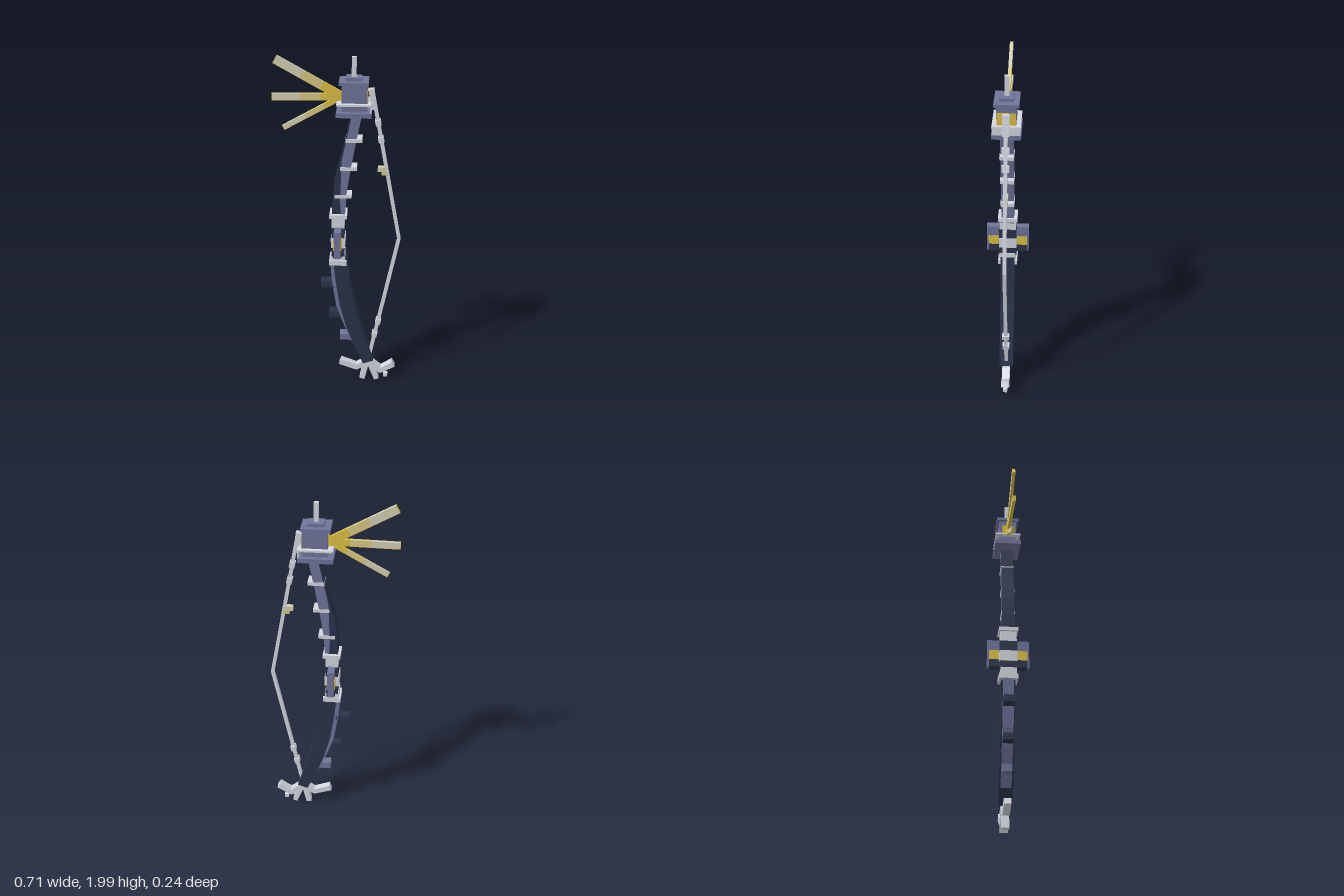
import * as THREE from 'three';

const mat = (name, color) => {
  const m = new THREE.MeshStandardMaterial({ color });
  m.name = name;
  return m;
};

export function createModel() {
  const bow = new THREE.Group();
  bow.name = 'bow';
  const silver = mat('silver', 0xd3d7df);
  const violet = mat('slate violet', 0x70749a);
  const navy = mat('navy', 0x2a334a);
  const gold = mat('gold', 0xdcbf46);
  const paleGold = mat('pale gold', 0xd8c984);
  const ash = mat('pale ash', 0xd3d0b4);

  const add = (name, geo, m) => {
    const mesh = new THREE.Mesh(geo, m);
    mesh.name = name;
    bow.add(mesh);
    return mesh;
  };
  // Box given by its limits in x and y and its half depth
  const box = (name, m, x0, x1, y0, y1, hz, z = 0) => {
    const mesh = add(name, new THREE.BoxGeometry(x1 - x0, y1 - y0, hz * 2), m);
    mesh.position.set((x0 + x1) / 2, (y0 + y1) / 2, z);
    return mesh;
  };
  // Flat strip following a path of [x, y, width], extruded along z
  const strip = (name, m, path, hz) => {
    const a = [], b = [];
    path.forEach(([x, y, w], i) => {
      const p = path[Math.max(i - 1, 0)], q = path[Math.min(i + 1, path.length - 1)];
      const dx = q[0] - p[0], dy = q[1] - p[1], k = w / 2 / Math.hypot(dx, dy);
      a.push(new THREE.Vector2(x - dy * k, y + dx * k));
      b.unshift(new THREE.Vector2(x + dy * k, y - dx * k));
    });
    const geo = new THREE.ExtrudeGeometry(new THREE.Shape([...a, ...b]), { depth: hz * 2, bevelEnabled: false });
    geo.translate(0, 0, -hz);
    return add(name, geo, m);
  };

  // Head block with stepped cap and spike
  box('headBase', violet, -0.01, 0.178, 1.69, 1.715, 0.076);
  box('headBody', violet, 0.02, 0.155, 1.715, 1.86, 0.05);
  box('headCollar', silver, -0.008, 0.177, 1.752, 1.762, 0.074);
  box('headCollarPlate', silver, 0.17, 0.177, 1.715, 1.76, 0.072);
  box('headCap', violet, 0.005, 0.16, 1.86, 1.877, 0.065);
  box('headCapStep', violet, 0.04, 0.125, 1.877, 1.895, 0.037);
  box('headSpike', silver, 0.07, 0.095, 1.895, 2.0, 0.012);
  box('headPanelLeft', gold, 0.154, 0.158, 1.762, 1.83, 0.048);
  box('headPanelRight', gold, 0.017, 0.021, 1.765, 1.83, 0.03);

  // Three fan blades, fading in steps from gold to ash, with gilded ends and lower edges
  [[-0.332, 1.982, 0.045], [-0.353, 1.778, 0.036], [-0.295, 1.608, 0.026]].forEach(([x, y, w]) => {
    const dx = x - 0.02, dy = y - 1.785, len = Math.hypot(dx, dy);
    const at = (t, down = 0, width = w) =>
      [0.02 + dx * t - dy / len * down, 1.785 + dy * t + dx / len * down, width];
    strip('bladeRoot', gold, [at(0), at(0.3)], 0.009);
    strip('bladeMiddle', paleGold, [at(0.3), at(0.6)], 0.009);
    strip('bladeTip', ash, [at(0.6), at(0.995)], 0.009);
    strip('bladeEnd', gold, [at(0.995), at(1)], 0.009);
    strip('bladeEdge', gold, [at(0, w / 2, 0.003), at(1, w / 2, 0.003)], 0.009);
  });

  // Upper limb, its dark back and its bands
  strip('upperLimb', violet, [[0.1, 1.7, 0.055], [0.07, 1.55, 0.055], [0.043, 1.4, 0.055],
    [0.022, 1.25, 0.052], [0.012, 1.08, 0.048]], 0.035);
  strip('upperLimbBack', navy, [[0.072, 1.7, 0.005], [0.042, 1.55, 0.005], [0.014, 1.43, 0.009],
    [-0.001, 1.32, 0.034], [-0.01, 1.2, 0.042], [-0.008, 1.08, 0.052]], 0.0355);
  [[0.04, 0.13, 1.55], [0.012, 0.102, 1.388], [-0.018, 0.075, 1.224]].forEach(([x0, x1, y]) =>
    box('limbBand', silver, x0, x1, y - 0.01, y + 0.01, 0.038));

  // Grip with stacked colours between two collars
  box('gripCollarTop', silver, -0.048, 0.05, 1.095, 1.117, 0.054);
  box('gripNeck', silver, -0.036, 0.036, 1.035, 1.095, 0.046);
  box('gripCoreTop', navy, -0.036, 0.036, 0.975, 1.035, 0.05);
  box('gripCoreBand', silver, -0.04, 0.04, 0.912, 0.975, 0.05);
  box('gripCoreBottom', navy, -0.036, 0.036, 0.86, 0.912, 0.05);
  box('gripCollarBottom', silver, -0.04, 0.04, 0.83, 0.872, 0.046);
  box('gripCollarLip', silver, -0.05, 0.05, 0.803, 0.832, 0.054);
  for (const s of [1, -1]) {
    box('guardTop', violet, -0.019, 0.019, 0.98, 1.042, 0.034, s * 0.084);
    box('guardPlate', violet, -0.018, 0.018, 0.88, 0.98, 0.006, s * 0.112);
    box('guardGold', gold, -0.023, 0.023, 0.924, 0.98, 0.028, s * 0.08);
    box('guardBottom', navy, -0.023, 0.023, 0.88, 0.924, 0.028, s * 0.08);
  }

  // Lower limb, its violet back and its studs
  strip('lowerLimb', navy, [[0.01, 0.84, 0.078], [0.026, 0.7, 0.08], [0.05, 0.55, 0.084],
    [0.082, 0.42, 0.082], [0.125, 0.29, 0.078], [0.18, 0.145, 0.062]], 0.04);
  strip('lowerLimbBack', violet, [[-0.034, 0.83, 0.024], [-0.022, 0.68, 0.026], [0.002, 0.53, 0.026],
    [0.036, 0.42, 0.02], [0.09, 0.28, 0.014], [0.15, 0.16, 0.008]], 0.03);
  box('limbStud', navy, -0.1, -0.02, 0.645, 0.685, 0.03);
  box('limbStud', navy, -0.052, 0.02, 0.447, 0.484, 0.028);
  box('limbStud', violet, 0.01, 0.085, 0.29, 0.33, 0.026);

  // Branching foot
  const prongs = [
    [[0.18, 0.135, 0.04], [0.11, 0.092, 0.036], [0.012, 0.128, 0.036]],
    [[0.172, 0.14, 0.034], [0.145, 0.012, 0.03]],
    [[0.185, 0.14, 0.034], [0.232, 0.012, 0.028]],
    [[0.18, 0.135, 0.036], [0.255, 0.075, 0.038], [0.332, 0.122, 0.036]],
  ];
  prongs.forEach((p, i) => strip('footProng', silver, p, 0.02 + i * 0.001));
  box('footChip', silver, 0.273, 0.298, 0.025, 0.048, 0.012);

  // Drawn string with its tip, beads and nock
  strip('string', silver, [[0.18, 1.82, 0.02], [0.342, 0.96, 0.02], [0.19, 0.19, 0.02]], 0.01);
  strip('stringTip', silver, [[0.174, 1.83, 0.03], [0.19, 1.72, 0.03]], 0.018);
  [[0.213, 1.645, 0.2], [0.23, 1.55, 0.2], [0.235, 0.415, -0.2], [0.215, 0.325, -0.2]].forEach(([x, y, r]) => {
    box('stringBead', silver, x - 0.015, x + 0.015, y - 0.016, y + 0.016, 0.02).rotation.z = r;
  });
  box('nock', ash, 0.215, 0.262, 1.365, 1.392, 0.014);
  box('nockFoot', paleGold, 0.235, 0.268, 1.347, 1.368, 0.014);

  return bow;
}
